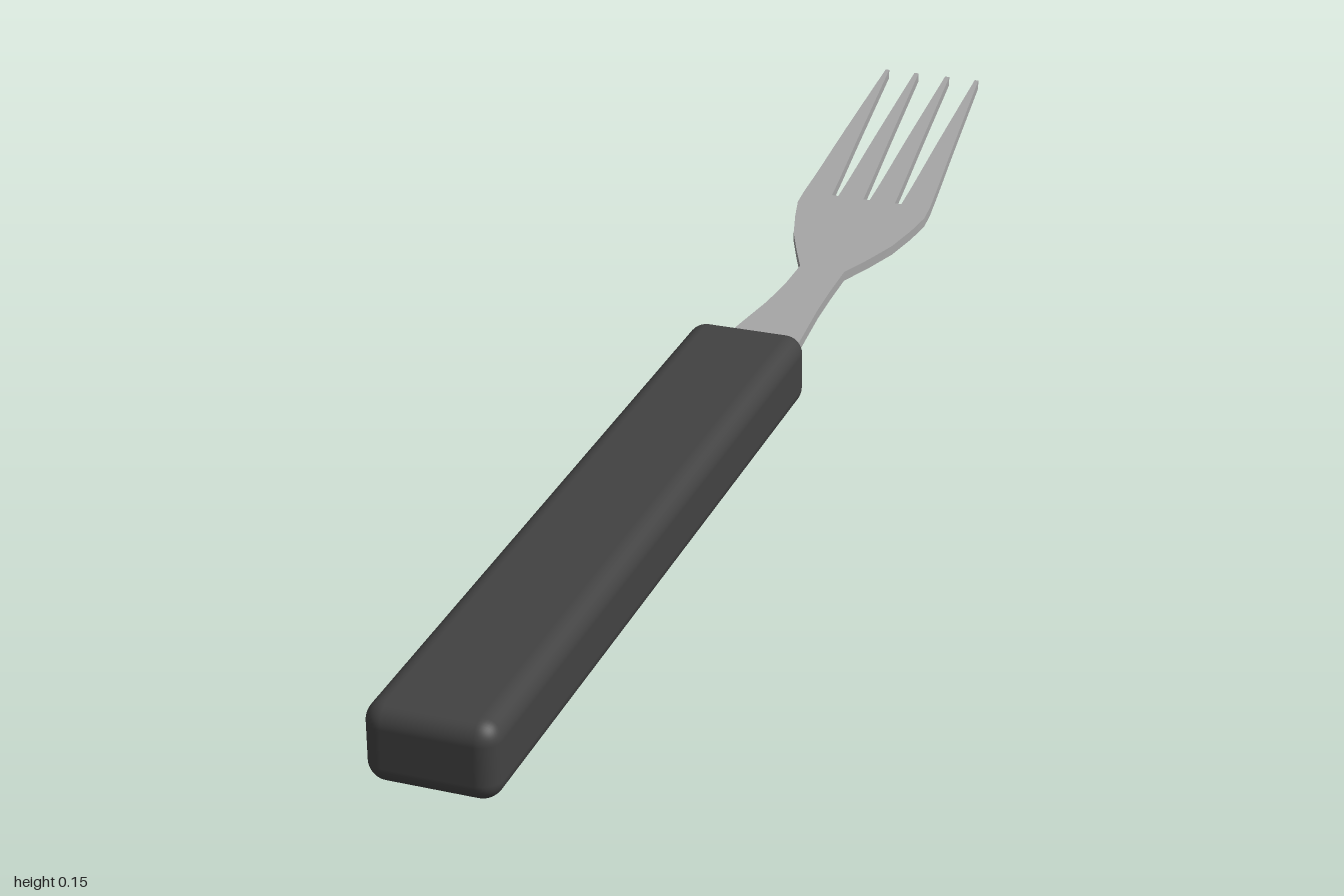
import * as THREE from 'three';
import { RoundedBoxGeometry } from 'three/addons/geometries/RoundedBoxGeometry.js';

const THICKNESS = 0.014;

// Side profile of the metal: points are (height, distance towards the tips)
const profile = [[0.08, 0.052], [0.2, 0.048], [0.36, 0.043], [0.5, 0.048], [0.65, 0.068], [0.82, 0.107], [1, 0.147]];

function heightAt(d) {
  let i = 0;
  while (i < profile.length - 2 && d > profile[i + 1][0]) i++;
  const slope = (k) => {
    const a = profile[Math.max(k - 1, 0)], b = profile[Math.min(k + 1, profile.length - 1)];
    return (b[1] - a[1]) / (b[0] - a[0]);
  };
  const [d0, y0] = profile[i], [d1, y1] = profile[i + 1];
  const h = d1 - d0, t = (d - d0) / h, t2 = t * t, t3 = t2 * t;
  return y0 * (2 * t3 - 3 * t2 + 1) + y1 * (3 * t2 - 2 * t3)
    + h * slope(i) * (t3 - 2 * t2 + t) + h * slope(i + 1) * (t3 - t2);
}

// Bent metal strip; each row is [distance, left edge x, right edge x]
function strip(rows) {
  const n = rows.length - 1;
  const geometry = new THREE.BoxGeometry(1, 1, 1, 1, 1, n);
  const p = geometry.attributes.position;
  for (let i = 0; i < p.count; i++) {
    const [d, x0, x1] = rows[Math.round((0.5 - p.getZ(i)) * n)];
    p.setXYZ(i, x0 + (x1 - x0) * (p.getX(i) + 0.5), heightAt(d) + p.getY(i) * THICKNESS, -d);
  }
  geometry.computeVertexNormals();
  return geometry;
}

export function createModel() {
  const group = new THREE.Group();
  const plastic = new THREE.MeshStandardMaterial({ name: 'dark plastic', color: 0x424242 });
  const steel = new THREE.MeshStandardMaterial({ name: 'steel', color: 0xa6a6a6 });

  const add = (name, geometry, material) => {
    const mesh = new THREE.Mesh(geometry, material);
    mesh.name = name;
    group.add(mesh);
    return mesh;
  };

  // Rounded handle
  add('handle', new RoundedBoxGeometry(0.164, 0.102, 1.106, 5, 0.026), plastic).position.set(0, 0.051, 0.447);

  // Neck flaring into the head
  const halfWidths = [[0.08, 0.06], [0.15, 0.053], [0.22, 0.046], [0.29, 0.039], [0.36, 0.035], [0.43, 0.034],
    [0.48, 0.056], [0.53, 0.077], [0.58, 0.091], [0.62, 0.1], [0.65, 0.1]];
  add('neck', strip(halfWidths.map(([d, w]) => [d, -w, w])), steel);

  // Four tapering tines: [inner root, outer root, inner tip, outer tip]
  const tines = { innerTine: [0.005, 0.045, 0.022, 0.029], outerTine: [0.055, 0.1, 0.071, 0.077] };
  for (const [name, [a0, b0, a1, b1]] of Object.entries(tines)) {
    for (const side of [-1, 1]) {
      const rows = [];
      for (let i = 0; i <= 8; i++) {
        const t = i / 8, a = a0 + (a1 - a0) * t, b = b0 + (b1 - b0) * t;
        rows.push(side > 0 ? [0.65 + 0.35 * t, a, b] : [0.65 + 0.35 * t, -b, -a]);
      }
      add(name + (side > 0 ? 'Left' : 'Right'), strip(rows), steel);
    }
  }
  return group;
}
